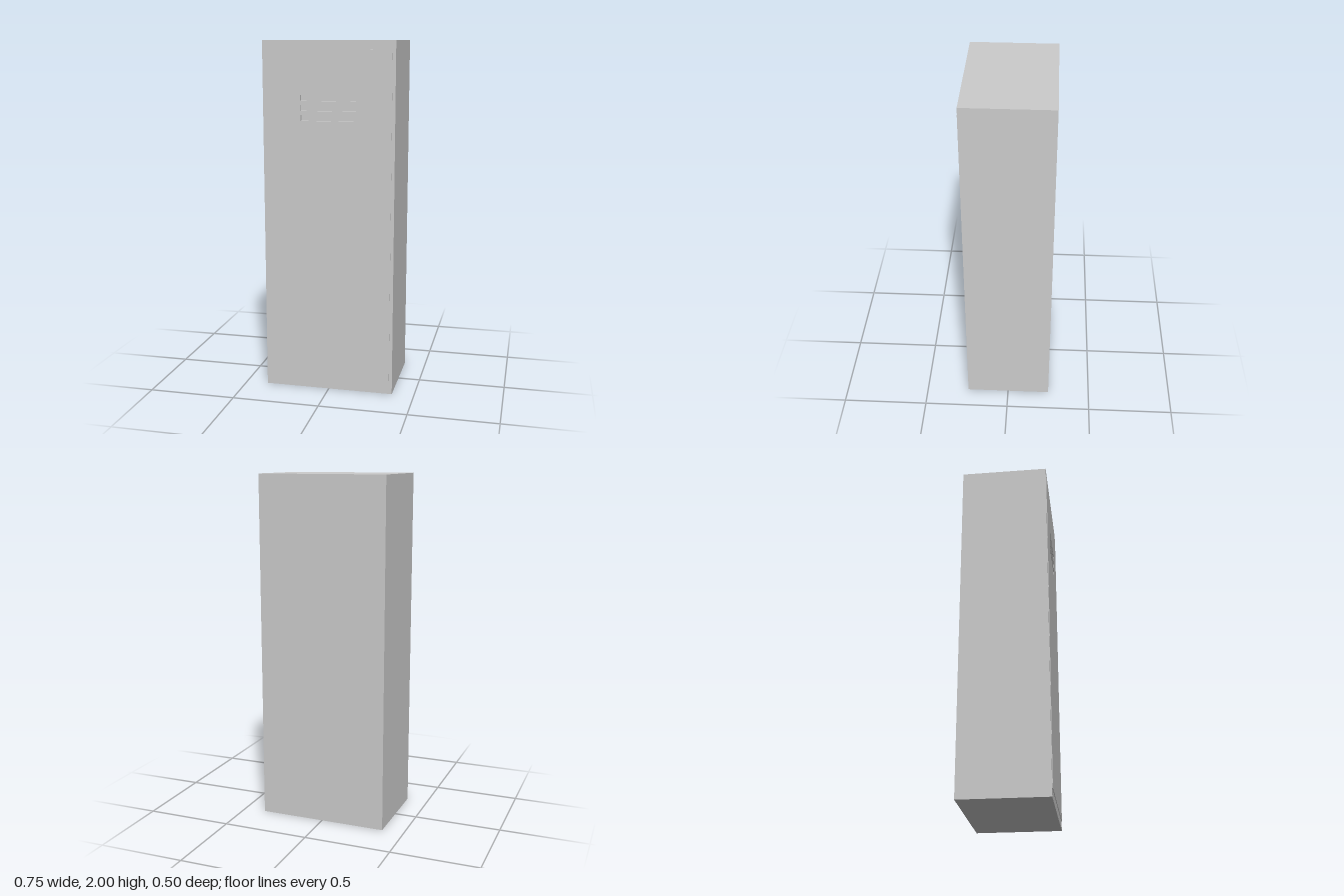
import * as THREE from 'three';

const W = 0.746, H = 2, BACK = -0.25, FRONT = 0.247; // cabinet shell
const DW = 0.71, D0 = 0.05, D1 = 1.95, DOOR_FRONT = 0.25; // door opening
const WALL = 0.018;

// Rectangle outline centred on x = 0, usable as a shape or a hole
function rect(Type, width, y0, y1) {
  const p = new Type();
  p.moveTo(-width / 2, y0);
  p.lineTo(width / 2, y0);
  p.lineTo(width / 2, y1);
  p.lineTo(-width / 2, y1);
  p.closePath();
  return p;
}

export function createModel() {
  const group = new THREE.Group();
  group.name = 'locker';
  const material = new THREE.MeshStandardMaterial({ color: 0xcccccc });

  const addPanel = (name, shape, z0, z1) => {
    const geometry = new THREE.ExtrudeGeometry(shape, { depth: z1 - z0, bevelEnabled: false });
    const mesh = new THREE.Mesh(geometry, material);
    mesh.name = name;
    mesh.position.z = z0;
    group.add(mesh);
  };

  // Hollow shell: sides, top and base
  const shell = rect(THREE.Shape, W, 0, H);
  shell.holes.push(rect(THREE.Path, DW, D0, D1));
  addPanel('cabinetShell', shell, BACK, FRONT);

  // Back panel closing the shell
  addPanel('backPanel', rect(THREE.Shape, DW, D0, D1), BACK, BACK + WALL);

  // Door standing slightly proud, with three open vent slots
  const door = rect(THREE.Shape, DW, D0, D1);
  for (let i = 0; i < 3; i++) {
    const y = 1.578 + i * 0.055;
    door.holes.push(rect(THREE.Path, 0.314, y - 0.016, y + 0.016));
  }
  addPanel('door', door, DOOR_FRONT - WALL, DOOR_FRONT);

  return group;
}
